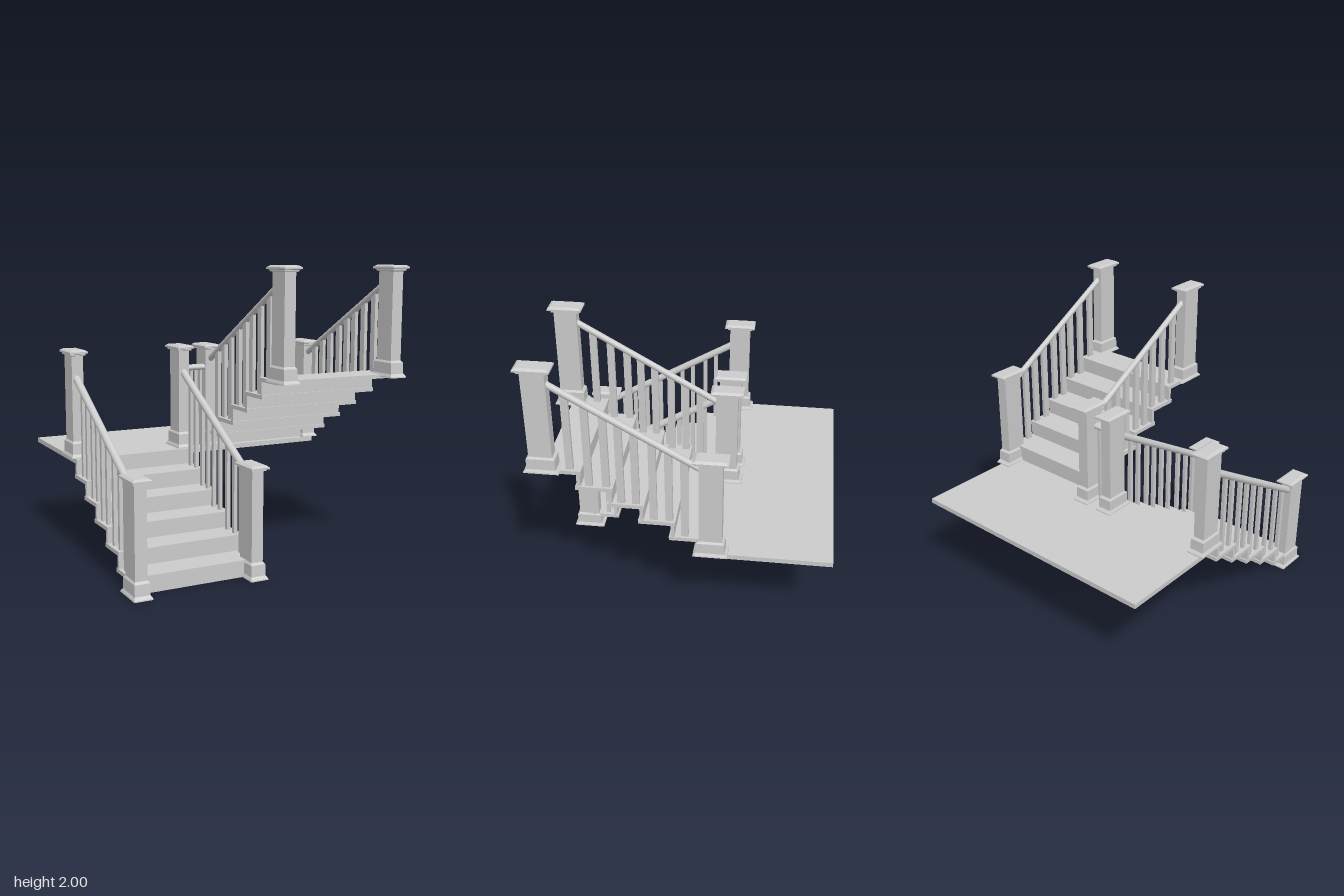
import * as THREE from 'three';

const material = new THREE.MeshStandardMaterial({ color: 0xcccccc });
const flat = new THREE.MeshStandardMaterial({ color: 0xcccccc, flatShading: true });

function add(parent, name, geometry, mat = material) {
  const mesh = new THREE.Mesh(geometry, mat);
  mesh.name = name;
  parent.add(mesh);
  return mesh;
}

// Box given by its limits on each axis
function slab(parent, name, x0, x1, y0, y1, z0, z1) {
  const mesh = add(parent, name, new THREE.BoxGeometry(x1 - x0, y1 - y0, z1 - z0));
  mesh.position.set((x0 + x1) / 2, (y0 + y1) / 2, (z0 + z1) / 2);
  return mesh;
}

// Stack of rectangles [half width, half depth, height] joined into a solid
function rectLoft(sections) {
  const pos = [], index = [];
  for (const [w, d, y] of sections) pos.push(-w, y, d, w, y, d, w, y, -d, -w, y, -d);
  for (let s = 0; s < sections.length - 1; s++) {
    for (let i = 0; i < 4; i++) {
      const a = s * 4 + i, b = s * 4 + (i + 1) % 4;
      index.push(a, b, b + 4, a, b + 4, a + 4);
    }
  }
  const t = (sections.length - 1) * 4;
  index.push(t, t + 1, t + 2, t, t + 2, t + 3, 0, 2, 1, 0, 3, 2);
  const g = new THREE.BufferGeometry();
  g.setAttribute('position', new THREE.Float32BufferAttribute(pos, 3));
  g.setIndex(index);
  const out = g.toNonIndexed();
  out.computeVertexNormals();
  return out;
}

// Newel post: flared foot, plinth, shaft, moulded cap
const postGeometry = rectLoft([
  [0.063, 0.115, 0], [0.062, 0.114, 0.008], [0.052, 0.095, 0.026], [0.051, 0.092, 0.1],
  [0.041, 0.076, 0.114], [0.041, 0.076, 0.708], [0.053, 0.093, 0.712], [0.053, 0.093, 0.722],
  [0.065, 0.114, 0.726], [0.065, 0.114, 0.738], [0.047, 0.095, 0.75],
]);

function rail(parent, name, from, to, radius) {
  const dir = to.clone().sub(from);
  const mesh = add(parent, name, new THREE.CylinderGeometry(radius, radius, dir.length(), 20));
  mesh.position.copy(from).add(to).multiplyScalar(0.5);
  mesh.quaternion.setFromUnitVectors(new THREE.Vector3(0, 1, 0), dir.normalize());
  return mesh;
}

// Treads [top height, front z, back z] with a riser below each
function flight(parent, name, x0, x1, treads, riserZ, floor) {
  const g = new THREE.Group();
  g.name = name;
  parent.add(g);
  let below = floor;
  treads.forEach(([top, zMin, zMax], i) => {
    slab(g, 'tread', x0, x1, top - 0.027, top, zMin, zMax);
    slab(g, 'riser', x0 + 0.003, x1 - 0.003, below, top - 0.027, riserZ[i] - 0.012, riserZ[i] + 0.012);
    below = top;
  });
  return g;
}

// Sloping handrail with balusters standing on the treads
function balustrade(parent, name, x, a, b, radius, zs, width, depth, treads) {
  const g = new THREE.Group();
  g.name = name;
  parent.add(g);
  rail(g, 'handrail', new THREE.Vector3(x, a[1], a[0]), new THREE.Vector3(x, b[1], b[0]), radius);
  for (const z of zs) {
    const railY = a[1] + (b[1] - a[1]) * (z - a[0]) / (b[0] - a[0]);
    const under = treads.filter(([, z0, z1]) => z > z0 && z < z1).map(t => t[0]);
    const foot = Math.max(...under) - 0.01;
    slab(g, 'baluster', x - width / 2, x + width / 2, foot, railY, z - depth / 2, z + depth / 2);
  }
}

export function createModel() {
  const model = new THREE.Group();
  model.name = 'staircase';

  // Landing
  slab(model, 'landing', -0.97, 0.95, 0.638, 0.672, -1, -0.09);

  // Lower flight climbs towards the back, upper flight returns to the front
  const lower = [], upper = [], lowerRisers = [], upperRisers = [];
  for (let i = 0; i < 5; i++) {
    const front = 0.87 - 0.193 * i, back = -0.17 + 0.199 * i;
    lower.push([0.115 + 0.111 * i, front - 0.235, front]);
    lowerRisers.push(front - 0.02);
    upper.push([0.795 + 0.1175 * i, back, back + 0.242]);
    upperRisers.push(back + 0.02);
  }
  const lowerFlight = flight(model, 'lowerFlight', -0.97, -0.08, lower, lowerRisers, 0);
  slab(lowerFlight, 'topRiser', -0.967, -0.083, 0.559, 0.64, -0.127, -0.103);
  flight(model, 'upperFlight', 0.06, 0.96, upper, upperRisers, 0.67);

  // Newel posts [x, base y, z]
  const posts = [
    [-0.93, 0, 0.868], [-0.125, 0, 0.868], [-0.93, 0.672, -0.225], [-0.12, 0.672, -0.225],
    [0.095, 0.672, -0.222], [0.93, 0.672, -0.2], [0.095, 1.25, 0.873], [0.93, 1.25, 0.873],
  ];
  for (const [x, y, z] of posts) add(model, 'newelPost', postGeometry, flat).position.set(x, y, z);

  // Balustrades on both sides of each flight
  const lowerZ = [0.72, 0.63, 0.53, 0.417, 0.325, 0.235, 0.15, 0.05, -0.035];
  const upperZ = [0.7, 0.583, 0.472, 0.38, 0.283, 0.172, 0.07, -0.03];
  for (const x of [-0.935, -0.12]) {
    balustrade(model, 'lowerBalustrade', x, [0.81, 0.66], [-0.16, 1.225], 0.026, lowerZ, 0.025, 0.03, lower);
  }
  for (const x of [0.097, 0.93]) {
    balustrade(model, 'upperBalustrade', x, [0.81, 1.875], [-0.16, 1.315], 0.022, upperZ, 0.025, 0.048, upper);
  }

  // Short level guard between the middle posts
  const guard = new THREE.Group();
  guard.name = 'middleGuard';
  model.add(guard);
  const top = rail(guard, 'guardRail', new THREE.Vector3(-0.09, 1.253, -0.19), new THREE.Vector3(0.07, 1.253, -0.19), 0.022);
  top.scale.z = 1.7;
  for (const x of [-0.045, -0.008, 0.03]) slab(guard, 'guardBaluster', x - 0.01, x + 0.01, 0.67, 1.25, -0.205, -0.175);

  return model;
}
